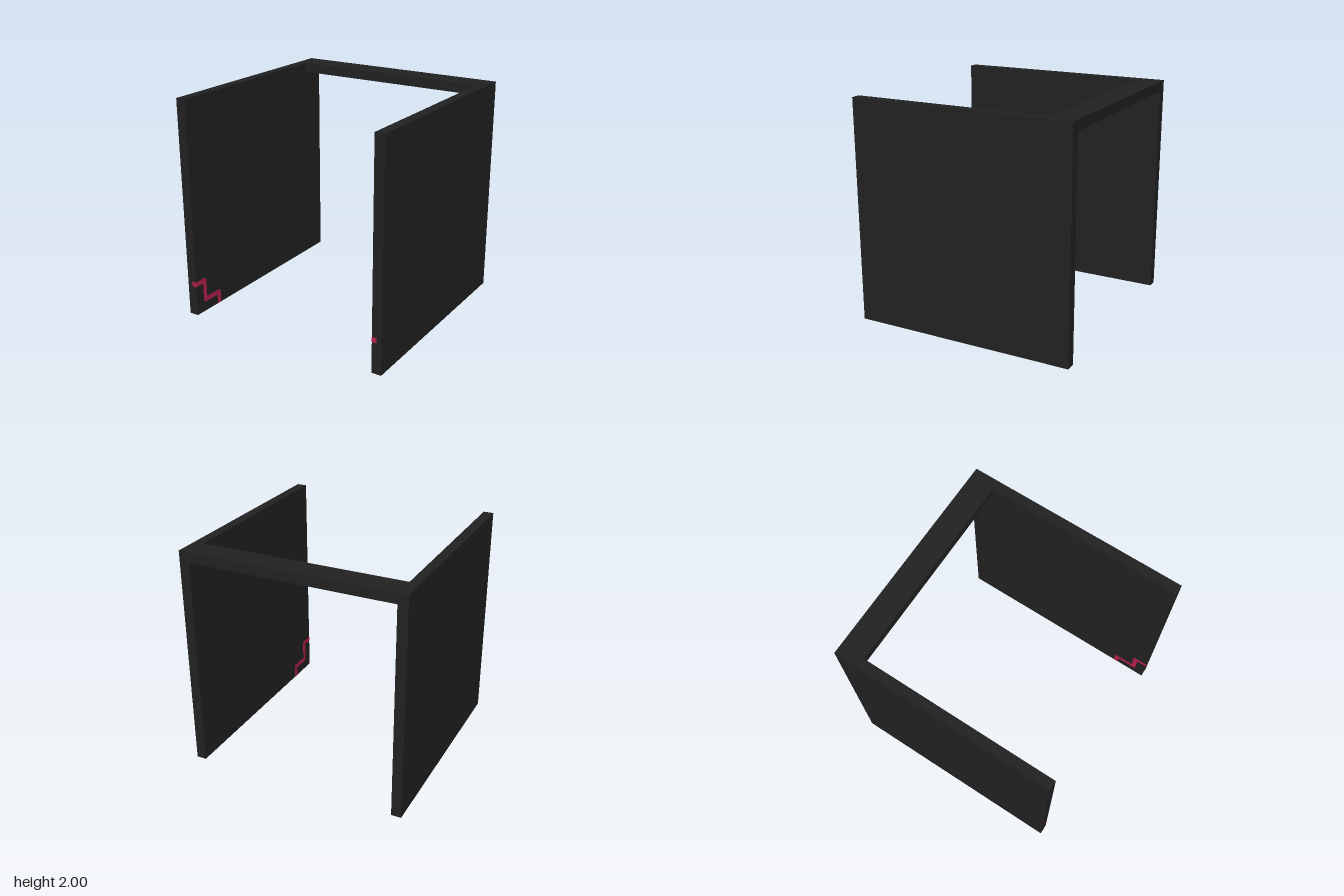
import * as THREE from 'three';

export function createModel() {
  const group = new THREE.Group();
  const charcoal = new THREE.MeshStandardMaterial({ color: 0x222222 });
  charcoal.name = 'charcoal';
  const crimson = new THREE.MeshStandardMaterial({ color: 0xb8204c });
  crimson.name = 'crimson';

  // box given by its minimum and maximum corners
  function box(name, min, max) {
    const size = max.map((v, i) => v - min[i]);
    const mesh = new THREE.Mesh(new THREE.BoxGeometry(...size), charcoal);
    mesh.position.set(...max.map((v, i) => (v + min[i]) / 2));
    mesh.name = name;
    group.add(mesh);
  }

  // side panels, a hair short where the inlay comes to the surface
  box('leftPanel', [0.911, 0.001, -1], [1, 2, 0.999]);
  box('rightPanel', [-1, 0.001, -1], [-0.911, 2, 0.999]);
  // beam joining the panels at the top of the back
  box('backBeam', [-0.911, 1.91, -1], [0.911, 2, -0.775]);

  // stepped inlay strip, outlined in z and y; third value rounds the corner
  const outline = [
    [1, 0.28], [1, 0.325], [0.862, 0.325, 0.022], [0.862, 0.135], [0.675, 0.135, 0.022],
    [0.675, 0], [0.72, 0], [0.72, 0.09], [0.907, 0.09, 0.022], [0.907, 0.28],
  ];
  const strip = new THREE.Shape();
  outline.forEach(([z, y, r], i) => {
    if (i === 0) return strip.moveTo(z, y);
    if (!r) return strip.lineTo(z, y);
    const corner = new THREE.Vector2(z, y);
    const toward = ([a, b]) => new THREE.Vector2(a, b).sub(corner).setLength(r).add(corner);
    const start = toward(outline[i - 1]);
    const end = toward(outline[i + 1]);
    strip.lineTo(start.x, start.y);
    strip.quadraticCurveTo(z, y, end.x, end.y);
  });
  const inlay = new THREE.ExtrudeGeometry(strip, { depth: 0.045, bevelEnabled: false, curveSegments: 4 });
  inlay.rotateY(-Math.PI / 2);

  // one inlay in the inner face of each panel
  for (const [name, x] of [['leftInlay', 0.955], ['rightInlay', -0.91]]) {
    const mesh = new THREE.Mesh(inlay, crimson);
    mesh.position.x = x;
    mesh.name = name;
    group.add(mesh);
  }
  return group;
}
